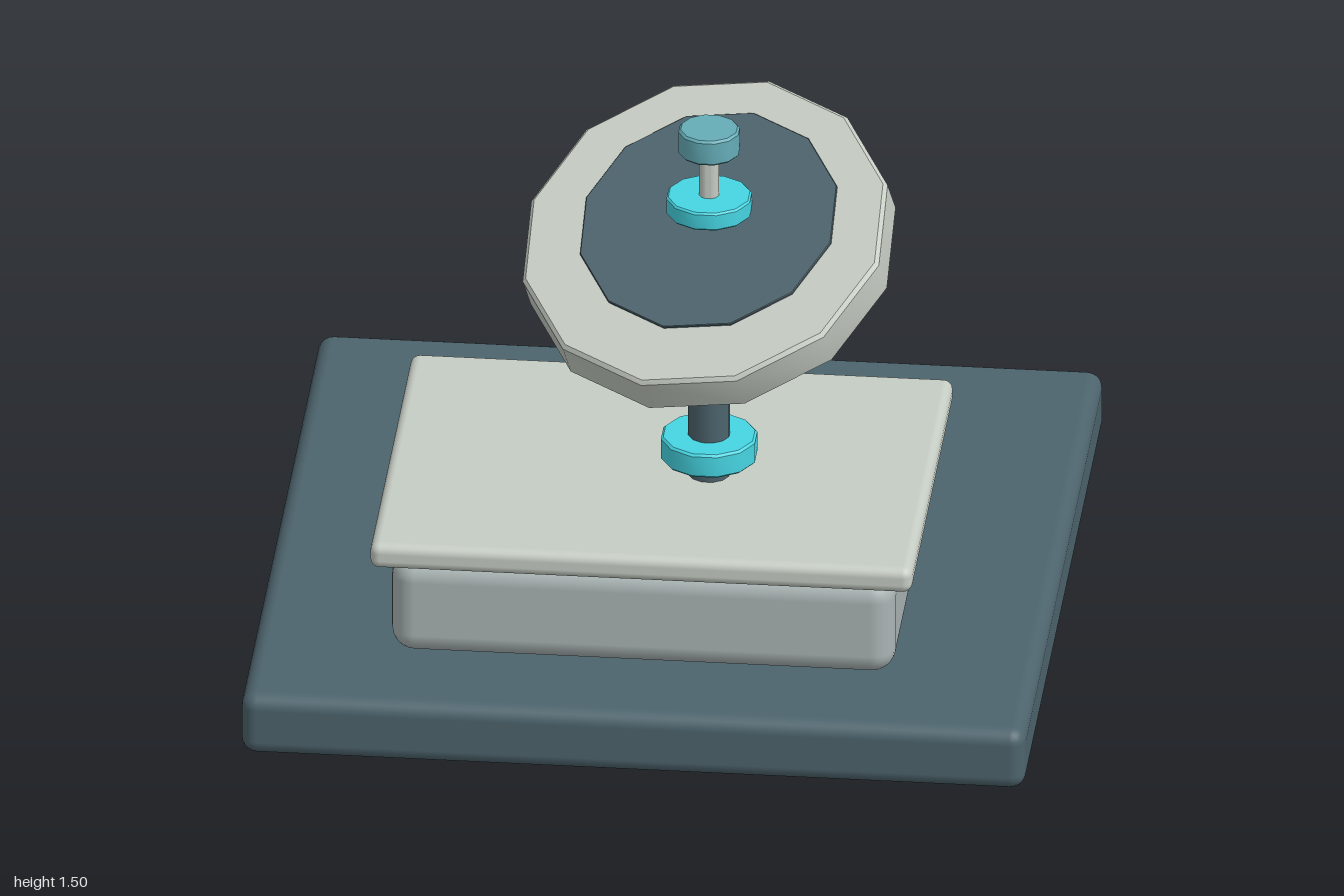
import * as THREE from 'three';
import { RoundedBoxGeometry } from 'three/addons/geometries/RoundedBoxGeometry.js';
import { toCreasedNormals } from 'three/addons/utils/BufferGeometryUtils.js';

const SIDES = 12;
const HALF_STEP = Math.PI / SIDES; // turns the sides so a flat faces each axis
const AXIS = { x: 0.125, z: 0.3 }; // upright axis of the post

const material = (color) => new THREE.MeshStandardMaterial({ color });
const slate = material(0x4d646d);
const bodyGrey = material(0xaab5b4);
const paleGrey = material(0xc6cdc4);
const cyan = material(0x46d5e2);
const teal = material(0x65adb8);

export function createModel() {
  const model = new THREE.Group();
  model.name = 'tiltedDiscStand';

  const add = (name, geometry, mat, x, y, z) => {
    const mesh = new THREE.Mesh(geometry, mat);
    mesh.name = name;
    mesh.position.set(x, y, z);
    model.add(mesh);
    return mesh;
  };

  // Rounded box given by its lower and upper corners
  const block = (name, mat, min, max, radius) => {
    const size = max.map((v, i) => v - min[i]);
    const centre = max.map((v, i) => (v + min[i]) / 2);
    return add(name, new RoundedBoxGeometry(...size, 3, radius), mat, ...centre);
  };

  // Twelve-sided drum on the post axis with slightly bevelled rims
  const drum = (name, mat, radius, y0, y1, bevel) => {
    const h = (y1 - y0) / 2;
    const profile = [
      [0, -h], [radius - bevel, -h], [radius, -h + bevel],
      [radius, h - bevel], [radius - bevel, h], [0, h],
    ].map(([r, y]) => new THREE.Vector2(r, y));
    const geometry = new THREE.LatheGeometry(profile, SIDES, HALF_STEP);
    return add(name, toCreasedNormals(geometry, 0.65), mat, AXIS.x, (y0 + y1) / 2, AXIS.z);
  };

  // Base slab, housing and its overhanging lid
  block('base', slate, [-1, 0, -1], [1, 0.17, 1], 0.04);
  block('housing', bodyGrey, [-0.645, 0.17, -0.235], [0.64, 0.44, 0.74], 0.06);
  block('lid', paleGrey, [-0.693, 0.435, -0.28], [0.69, 0.505, 0.78], 0.025);

  // Post with its foot collar
  drum('post', slate, 0.054, 0.5, 1.18, 0.002);
  drum('footCollar', cyan, 0.124, 0.552, 0.618, 0.006);

  // Tilted disc and the dark inlay on its upper face
  const disc = drum('disc', paleGrey, 0.48, 1.1, 1.22, 0.01);
  const inlay = drum('discInlay', slate, 0.338, 1.215, 1.235, 0.002);
  for (const part of [disc, inlay]) part.rotation.set(0.48, 0, 0.16);

  // Spindle, clamping collar and knob above the disc
  drum('spindle', paleGrey, 0.026, 1.2, 1.44, 0.002);
  drum('clampCollar', cyan, 0.11, 1.255, 1.305, 0.005);
  drum('knob', teal, 0.079, 1.425, 1.495, 0.006);

  // Rear connectors: three flat plates and two blocks
  for (const x of [-0.41, 0, 0.41]) {
    block('rearPlate', teal, [x - 0.11, 0.33, -0.262], [x + 0.11, 0.41, -0.225], 0.008);
  }
  for (const x of [-0.555, 0.555]) {
    block('rearPlug', cyan, [x - 0.053, 0.297, -0.36], [x + 0.053, 0.378, -0.235], 0.014);
  }

  return model;
}
